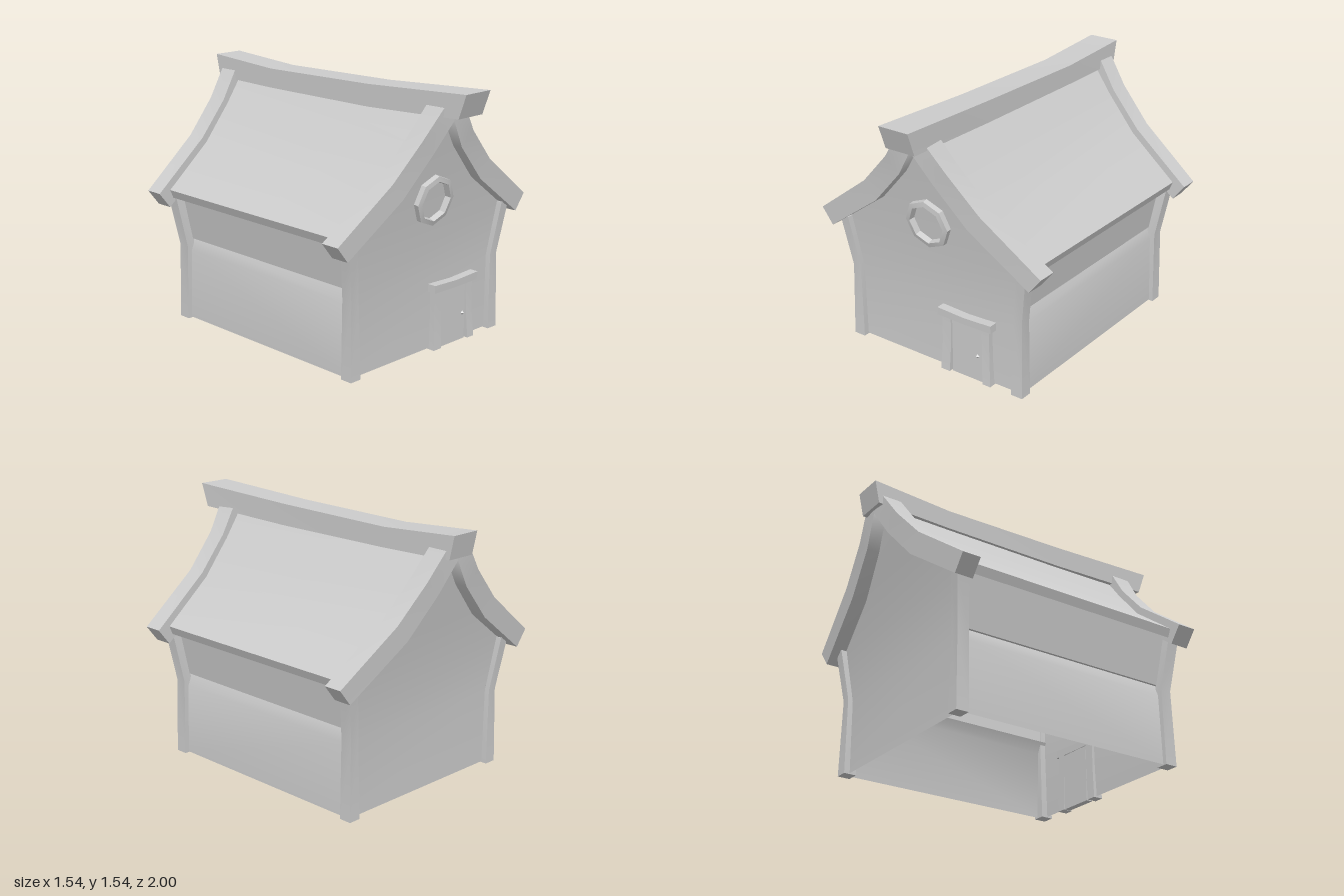
import * as THREE from 'three';
import { toCreasedNormals } from 'three/addons/utils/BufferGeometryUtils.js';

const mat = new THREE.MeshStandardMaterial({ color: 0xcccccc, side: THREE.DoubleSide });

// Join equal-length cross-sections; closed sections become a capped solid.
function skin(sections, closed = true) {
  const n = sections[0].length, index = [];
  const pts = sections.flat();
  sections.slice(1).forEach((_, s) => {
    for (let i = 0; i < (closed ? n : n - 1); i++) {
      const j = (i + 1) % n, a = s * n + i, b = s * n + j, c = a + n, d = b + n;
      index.push(a, b, d, a, d, c);
    }
  });
  if (closed) {
    const e = (sections.length - 1) * n;
    for (let i = 1; i < n - 1; i++) index.push(0, i + 1, i, e, e + i, e + i + 1);
    // turn the faces outward if the signed volume is negative
    const v = pts.map(p => new THREE.Vector3(...p));
    let volume = 0;
    for (let i = 0; i < index.length; i += 3) {
      volume += v[index[i]].dot(v[index[i + 1]].clone().cross(v[index[i + 2]]));
    }
    if (volume < 0) index.reverse();
  }
  const g = new THREE.BufferGeometry();
  g.setAttribute('position', new THREE.Float32BufferAttribute(pts.flat(), 3));
  g.setIndex(index);
  return toCreasedNormals(g.toNonIndexed(), 0.6);
}

// Horizontal rectangle at height y
const rect = (x0, x1, y, z0, z1) => [[x0, y, z0], [x1, y, z0], [x1, y, z1], [x0, y, z1]];

export function createModel() {
  const house = new THREE.Group();
  house.name = 'house';
  const add = (name, geometry) => {
    const mesh = new THREE.Mesh(geometry, mat);
    mesh.name = name;
    house.add(mesh);
    return mesh;
  };

  // Gable walls: half width, height, front z, back z
  const gable = [
    [0.585, 0.01, 0.66, -0.73], [0.58, 0.45, 0.655, -0.73], [0.62, 0.78, 0.69, -0.765],
    [0.34, 1.03, 0.725, -0.81], [0.15, 1.24, 0.76, -0.85], [0.005, 1.41, 0.79, -0.88],
  ];
  add('frontWall', skin(gable.map(([w, y, z]) => [[-w, y, z], [w, y, z]]), false));
  add('backWall', skin(gable.map(([w, y, , z]) => [[w, y, z], [-w, y, z]]), false));

  // Side walls with a sloping ledge: x, y, front z, back z
  const sideRows = [
    [0.59, 0.01, 0.66, -0.73], [0.575, 0.43, 0.655, -0.73], [0.545, 0.5, 0.66, -0.735],
    [0.56, 0.5, 0.66, -0.735], [0.605, 0.81, 0.69, -0.765],
  ];
  // Corner posts: inner x, outer x, y, then z ranges for front and back
  const postRows = [
    [0.54, 0.615, 0.005, [0.62, 0.695], [-0.69, -0.765]],
    [0.55, 0.605, 0.46, [0.62, 0.687], [-0.69, -0.76]],
    [0.595, 0.655, 0.78, [0.655, 0.725], [-0.725, -0.8]],
  ];
  // Roof panel: outer x, y, inner x, y, front z, back z
  const roofRows = [
    [0.685, 0.815, 0.665, 0.765, 0.69, -0.77], [0.37, 1.05, 0.34, 1.01, 0.73, -0.81],
    [0.185, 1.25, 0.15, 1.21, 0.76, -0.85], [0, 1.46, 0, 1.39, 0.79, -0.89],
  ];
  // Bargeboards: outer x, y, inner x, y, then z ranges for front and back
  const bargeRows = [
    [0.768, 0.808, 0.695, 0.714, [0.635, 0.75], [-0.73, -0.84]],
    [0.4, 1.08, 0.32, 0.98, [0.675, 0.785], [-0.775, -0.89]],
    [0.21, 1.28, 0.115, 1.2, [0.7, 0.815], [-0.8, -0.92]],
    [0.085, 1.45, 0, 1.37, [0.73, 0.855], [-0.83, -0.95]],
    [0, 1.47, 0, 1.38, [0.73, 0.855], [-0.83, -0.95]],
  ];
  for (const s of [1, -1]) {
    const side = s > 0 ? 'left' : 'right';
    add(side + 'Wall', skin(sideRows.map(([x, y, f, b]) => [[s * x, y, f], [s * x, y, b]]), false));
    add(side + 'RoofPanel', skin(roofRows.map(([xo, yo, xi, yi, f, b]) =>
      [[s * xo, yo, f], [s * xo, yo, b], [s * xi, yi, b], [s * xi, yi, f]])));
    ['Front', 'Back'].forEach((end, k) => {
      add(side + end + 'Post', skin(postRows.map(r => rect(s * r[0], s * r[1], r[2], ...r[3 + k]))));
      add(side + end + 'Bargeboard', skin(bargeRows.map(r => {
        const [z0, z1] = r[4 + k];
        return [[s * r[0], r[1], z0], [s * r[0], r[1], z1], [s * r[2], r[3], z1], [s * r[2], r[3], z0]];
      })));
    });
  }

  // Sagging ridge beam: top z, y, bottom z, y, left and right x
  add('ridgeBeam', skin([
    [1, 1.54, 0.95, 1.403, -0.08, 0.115], [0.3, 1.508, 0.3, 1.38, -0.09, 0.09],
    [-0.5, 1.495, -0.5, 1.38, -0.09, 0.09], [-1, 1.525, -0.97, 1.39, -0.09, 0.095],
  ].map(([zt, yt, zb, yb, x0, x1]) => [[x0, yt, zt], [x1, yt, zt], [x1, yb, zb], [x0, yb, zb]])));

  // Door, frame and knob
  add('door', new THREE.BoxGeometry(0.215, 0.345, 0.04)).position.set(0.228, 0.1725, 0.66);
  add('doorPostRight', skin([rect(0.05, 0.112, 0.002, 0.64, 0.7), rect(0.058, 0.118, 0.18, 0.64, 0.69),
    rect(0.058, 0.118, 0.36, 0.64, 0.69)]));
  add('doorPostLeft', skin([rect(0.345, 0.4, 0.002, 0.64, 0.7), rect(0.337, 0.388, 0.18, 0.64, 0.69),
    rect(0.335, 0.385, 0.36, 0.64, 0.69)]));
  add('doorLintel', skin([[0.04, 0.35, 0.397], [0.225, 0.347, 0.389], [0.41, 0.35, 0.397]].map(([x, y0, y1]) =>
    [[x, y0, 0.64], [x, y0, 0.708], [x, y1, 0.71], [x, y1, 0.64]])));
  add('doorKnob', new THREE.OctahedronGeometry(0.013)).position.set(0.305, 0.165, 0.69);

  // Octagonal window frame, tilted with the gable
  const profile = [[0.148, -0.02], [0.146, 0.03], [0.117, 0.036], [0.107, -0.02]];
  const ring = new THREE.LatheGeometry(profile.map(p => new THREE.Vector2(...p)), 8);
  ring.rotateX(Math.PI / 2 + 0.15);
  add('windowFrame', toCreasedNormals(ring, 0.6)).position.set(0, 0.908, 0.708);

  return house;
}
